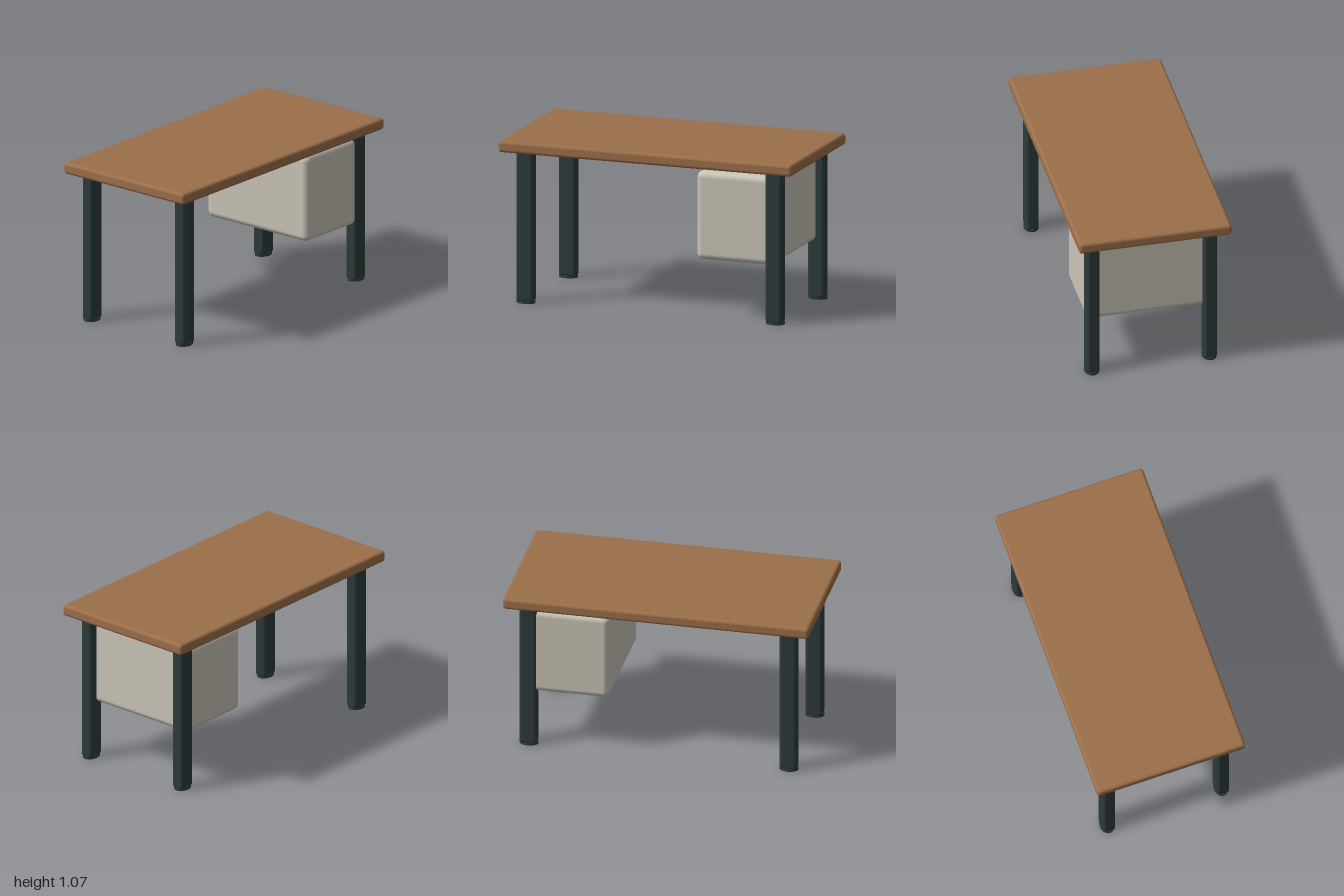
import * as THREE from 'three';
import { RoundedBoxGeometry } from 'three/addons/geometries/RoundedBoxGeometry.js';

function material(name, color) {
  const m = new THREE.MeshStandardMaterial({ color });
  m.name = name;
  return m;
}

export function createModel() {
  const desk = new THREE.Group();
  desk.name = 'desk';

  const wood = material('brown wood', 0x9c6f4a);
  const cream = material('warm grey', 0xcac5b8);
  const metal = material('dark green metal', 0x2d3b3b);

  const add = (name, geometry, mat, x, y, z) => {
    const mesh = new THREE.Mesh(geometry, mat);
    mesh.name = name;
    mesh.position.set(x, y, z);
    desk.add(mesh);
  };

  // Rounded tabletop
  add('tabletop', new RoundedBoxGeometry(2, 0.075, 1, 3, 0.02), wood, 0, 1.033, 0);

  // Drawer cabinet on the left, set between the legs
  add('cabinet', new RoundedBoxGeometry(0.53, 0.58, 0.838, 4, 0.042), cream, 0.585, 0.673, 0);

  // Four softened legs, each on a thin oval foot
  const legGeometry = new RoundedBoxGeometry(0.113, 0.99, 0.084, 2, 0.02);
  const footGeometry = new THREE.CylinderGeometry(0.0625, 0.0625, 0.018, 16);
  footGeometry.scale(1, 1, 0.77);
  for (const x of [-0.85, 0.85]) {
    for (const z of [-0.385, 0.385]) {
      const name = (z > 0 ? 'front' : 'back') + (x > 0 ? 'Left' : 'Right');
      add(name + 'Leg', legGeometry, metal, x, 0.503, z);
      add(name + 'Foot', footGeometry, metal, x, 0.009, z);
    }
  }
  return desk;
}
